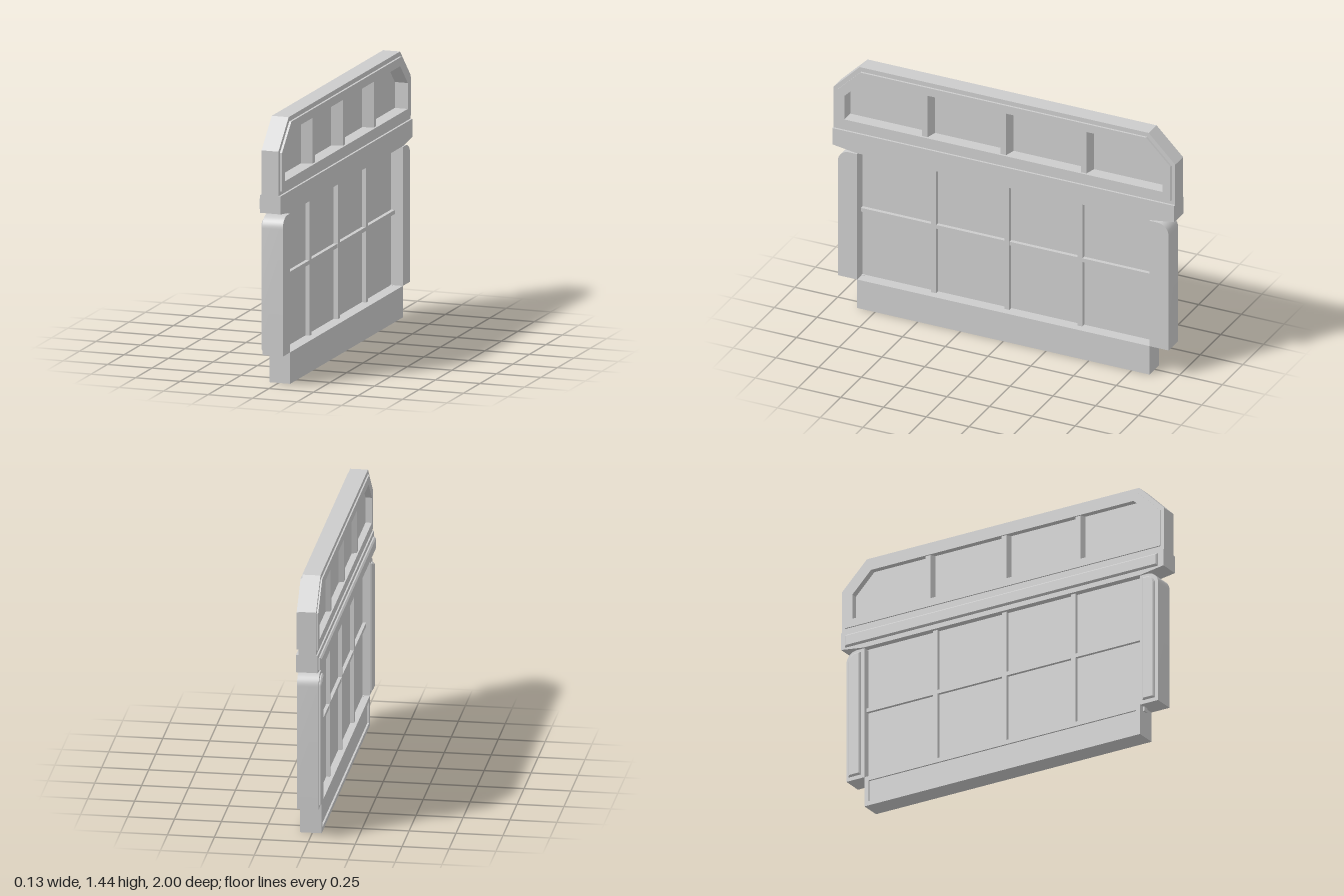
import * as THREE from 'three';
import { toCreasedNormals } from 'three/addons/utils/BufferGeometryUtils.js';

const material = new THREE.MeshStandardMaterial({ color: 0xcccccc });

// Outlines are lists of [z, y] points.
const rect = (z0, z1, y0, y1) => [[z0, y0], [z1, y0], [z1, y1], [z0, y1]];
// Symmetric panel outline with its two upper corners cut off.
const clipped = (half, y0, yCut, halfTop, y1) => [
  [-half, y0], [half, y0], [half, yCut], [halfTop, y1], [-halfTop, y1], [-half, yCut],
];
// Rail outline with a rounded upper outer corner.
function railOutline(side, z0, z1, y0, y1, r) {
  const pts = [[z0, y0], [z1, y0]];
  for (let i = 0; i <= 8; i++) {
    const a = (i / 8) * Math.PI / 2;
    pts.push([z1 - r + r * Math.cos(a), y1 - r + r * Math.sin(a)]);
  }
  pts.push([z0, y1]);
  return pts.map(([z, y]) => [side * z, y]);
}

export function createModel() {
  const model = new THREE.Group();

  const add = (name, geometry) => {
    const mesh = new THREE.Mesh(geometry, material);
    mesh.name = name;
    model.add(mesh);
  };

  // Extrudes a z-y outline across the thickness from x0 to x1.
  const slab = (name, outline, x0, x1, hole = null, bevel = 0) => {
    const toVec = (pts) => pts.map(([z, y]) => new THREE.Vector2(z, y));
    const shape = new THREE.Shape(toVec(outline));
    if (hole) shape.holes.push(new THREE.Path(toVec(hole)));
    const geometry = new THREE.ExtrudeGeometry(shape, {
      depth: x1 - x0 - 2 * bevel,
      bevelEnabled: bevel > 0,
      bevelThickness: bevel,
      bevelSize: bevel,
      bevelOffset: -bevel,
      bevelSegments: 1,
    });
    geometry.translate(0, 0, bevel);
    geometry.rotateY(-Math.PI / 2);
    geometry.translate(x1, 0, 0);
    add(name, toCreasedNormals(geometry, 0.4));
  };

  // Upper board: frame, raised border on both faces, recessed panel
  const opening = clipped(0.93, 1.11, 1.25, 0.815, 1.365);
  const border = clipped(0.978, 1.065, 1.272, 0.836, 1.412);
  slab('upperFrame', clipped(1, 1.03, 1.283, 0.845, 1.437), -0.042, 0.053, opening);
  slab('upperBorderRight', border, 0.05, 0.065, opening);
  slab('upperBorderLeft', border, -0.05, -0.04, opening);
  slab('upperPanel', clipped(0.95, 1.09, 1.26, 0.83, 1.385), -0.016, -0.008);

  // Tapered dividers in the upper board
  for (const z of [-0.465, 0.005, 0.465]) {
    const section = [[-0.042, 0.016], [-0.012, 0.032], [0.053, 0.016],
      [0.053, -0.016], [-0.012, -0.032], [-0.042, -0.016]];
    const geometry = new THREE.ExtrudeGeometry(
      new THREE.Shape(section.map(([x, w]) => new THREE.Vector2(x, w))),
      { depth: 0.265, bevelEnabled: false });
    geometry.rotateX(-Math.PI / 2);
    geometry.translate(0, 1.105, z);
    add('upperDivider', geometry);
  }

  // Crossbar with ends that taper on the underside
  slab('crossbar', [[-1, 0.945], [-0.86, 0.925], [0.86, 0.925], [1, 0.945], [1, 1.042], [-1, 1.042]],
    -0.05, 0.065);
  slab('crossbarTrim', rect(-0.97, 0.97, 0.95, 1.02), -0.067, -0.045, null, 0.008);

  // Bottom rail with a shallow inset on the left face
  slab('bottomRail', rect(-0.855, 0.855, 0, 0.17), -0.04, 0.065);
  slab('bottomRailBorder', rect(-0.855, 0.855, 0, 0.17), -0.05, -0.04,
    rect(-0.83, 0.83, 0.025, 0.145));

  // Side rails, their raised trim and small tabs below
  for (const side of [1, -1]) {
    slab('sideRail', railOutline(side, 0.855, 0.967, 0.17, 0.92, 0.065), -0.05, 0.065);
    slab('sideRailTrim', railOutline(side, 0.875, 0.95, 0.19, 0.902, 0.05), -0.065, -0.045, null, 0.008);
    slab('sideTab', side > 0 ? rect(0.84, 0.863, 0.145, 0.172) : rect(-0.863, -0.84, 0.145, 0.172),
      -0.02, 0.01);
  }

  // Recessed lower panel and the thin bars of its grid
  slab('lowerPanel', rect(-0.86, 0.86, 0.165, 0.93), -0.012, -0.002);
  for (const z of [-0.428, 0, 0.428]) {
    slab('verticalBar', rect(z - 0.014, z + 0.014, 0.165, 0.93), -0.032, 0.022);
  }
  slab('horizontalBar', rect(-0.856, 0.856, 0.555, 0.577), -0.03, 0.02);

  return model;
}
